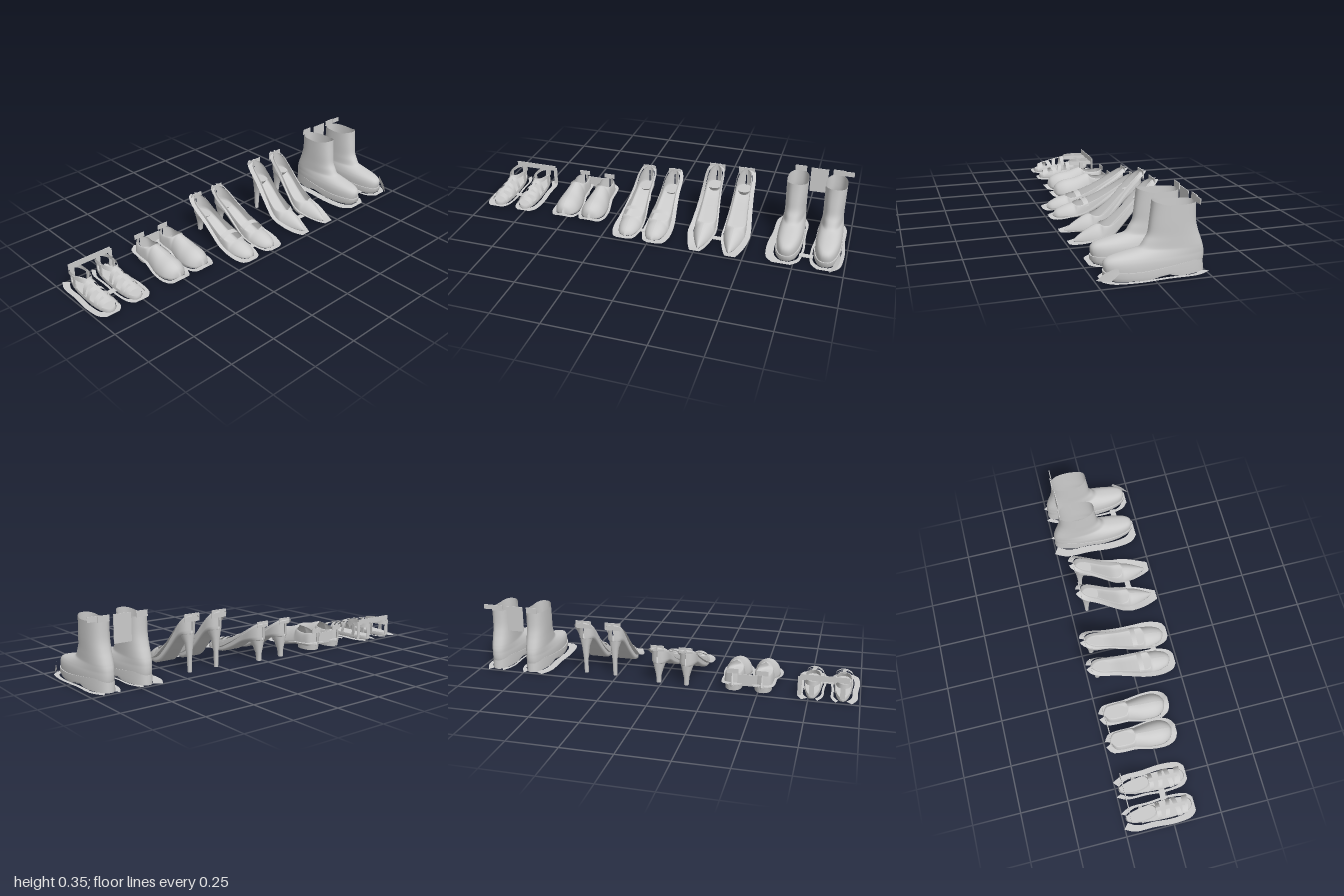
import * as THREE from 'three';

const material = new THREE.MeshStandardMaterial({ color: 0xcccccc, side: THREE.DoubleSide });
const lerp = THREE.MathUtils.lerp;

// Smooth surface through equal-length rows of [x, y, z] points
function surface(name, rows, closed = false) {
  const n = rows[0].length, index = [];
  for (let i = 0; i < rows.length - 1; i++) {
    for (let j = 0; j < (closed ? n : n - 1); j++) {
      const k = (j + 1) % n;
      const a = i * n + j, b = i * n + k, c = a + n, d = b + n;
      index.push(a, b, d, a, d, c);
    }
  }
  const g = new THREE.BufferGeometry();
  g.setAttribute('position', new THREE.Float32BufferAttribute(rows.flat(2), 3));
  g.setIndex(index);
  g.computeVertexNormals();
  const mesh = new THREE.Mesh(g, material);
  mesh.name = name;
  return mesh;
}

// Catmull-Rom resampling of a table of numbers
function resample(table, steps) {
  const out = [], last = table.length - 1;
  for (let s = 0; s <= steps; s++) {
    const t = (s / steps) * last, i = Math.min(Math.floor(t), last - 1), u = t - i;
    const [p0, p1, p2, p3] = [i - 1, i, i + 1, i + 2].map(k => table[THREE.MathUtils.clamp(k, 0, last)]);
    out.push(p1.map((b, c) => {
      const m1 = (p2[c] - p0[c]) / 2, m2 = (p3[c] - b) / 2, d = p2[c] - b;
      return b + u * (m1 + u * (3 * d - 2 * m1 - m2 + u * (m1 + m2 - 2 * d)));
    }));
  }
  return out;
}

// Foot-shaped ring at one height
function ring([y, zBack, zFront, wHeel, wToe], yRule = (v) => v) {
  return Array.from({ length: 40 }, (_, j) => {
    const a = (j / 40) * Math.PI * 2, c = Math.cos(a), s = Math.sin(a);
    const z = lerp(zBack, zFront, (Math.sign(c) * Math.abs(c) ** 0.9 + 1) / 2);
    const x = Math.sign(s) * Math.abs(s) ** 0.8 * lerp(wHeel, wToe, (c + 1) / 2);
    return [x, yRule(y, z), z];
  });
}

// Stack of rings, optionally capped; levels are [y, zBack, zFront, wHeel, wToe]
function stack(name, levels, caps = true, yRule) {
  const group = new THREE.Group(), rows = levels.map(l => ring(l, yRule));
  group.name = name;
  group.add(surface(name + 'Wall', rows, true));
  if (caps) for (const r of [rows[0], rows[rows.length - 1]]) {
    const mid = r.map(([, y, z]) => [0, y, z]);
    group.add(surface(name + 'Cap', [r, mid], true));
  }
  return group;
}

// Shoe shell from stations [z, yBottom, yTop, halfWidth, openingHalfWidth]
function shell(name, stations) {
  const rows = resample(stations, 44).map(([z, yb, yt, w, wr]) => {
    const half = [[0, yb], [w * 0.45, yb], [w * 0.82, yb]];
    for (let k = 0; k <= 9; k++) {
      const t = (k / 9) * Math.PI / 2, r = Math.max(0, wr);
      half.push([r + (w - r) * Math.cos(t), lerp(yb, yt, 0.08 + 0.92 * Math.sin(t))]);
    }
    return [...half.slice(1).reverse().map(([x, y]) => [-x, y, z]), ...half.map(([x, y]) => [x, y, z])];
  });
  return surface(name, rows);
}

// Thin skirt from the floor at the toe up to the rim at the back
function skirt(stations, outLeft, outRight, lift) {
  const s = resample(stations, 24), z0 = s[0][0], len = z0 - s[24][0];
  const side = (sign, out) => s.map(([z, yb, yt, w]) => {
    const f = (z0 - z) / len, y = lerp(yb, yt, f * lift), grow = out * (1 - 0.6 * f * lift);
    return [[sign * w, y, z], [sign * (w + grow), y, z + 0.025 * (1 - 2 * f)]];
  });
  return surface('skirt', [...side(-1, outLeft).reverse(), ...side(1, outRight)]);
}

// Flat band arching over the foot
function strap(z, w, y0, h, width, skew = 0) {
  const rows = [];
  for (let k = 0; k <= 16; k++) {
    const a = (k / 16) * Math.PI, x = w * Math.cos(a), y = y0 + h * Math.sin(a);
    rows.push([[x, y - 0.003, z + skew * x + width / 2], [x, y + 0.003, z + skew * x - width / 2]]);
  }
  return surface('strap', rows);
}

function panel(name, w, h, x, y, z, d = 0.004) {
  const mesh = new THREE.Mesh(new THREE.BoxGeometry(w, h, d), material);
  mesh.name = name;
  mesh.position.set(x, y, z);
  return mesh;
}

const CLOG = [[0.115, 0.02, 0.04, 0.008, 0], [0.1, 0.008, 0.065, 0.042, 0], [0.06, 0.004, 0.085, 0.064, 0],
  [0, 0.004, 0.095, 0.065, 0], [-0.05, 0.01, 0.11, 0.056, 0], [-0.08, 0.015, 0.116, 0.05, 0],
  [-0.1, 0.018, 0.1, 0.048, 0.036], [-0.15, 0.02, 0.09, 0.048, 0.037], [-0.195, 0.02, 0.095, 0.04, 0.032],
  [-0.218, 0.022, 0.1, 0.004, 0]];
const STRAP_HEEL = [[0.213, 0.008, 0.02, 0.006, 0], [0.195, 0.004, 0.04, 0.036, 0], [0.15, 0.003, 0.06, 0.055, 0],
  [0.11, 0.004, 0.068, 0.06, 0], [0.09, 0.005, 0.065, 0.06, 0.045], [0.04, 0.012, 0.075, 0.057, 0.052],
  [-0.03, 0.045, 0.1, 0.048, 0.045], [-0.1, 0.085, 0.135, 0.042, 0.038], [-0.17, 0.105, 0.175, 0.042, 0.034],
  [-0.21, 0.108, 0.198, 0.028, 0.02], [-0.225, 0.112, 0.2, 0.003, 0]];
const PUMP = [[0.215, 0.006, 0.012, 0.003, 0], [0.18, 0.004, 0.04, 0.022, 0], [0.13, 0.004, 0.07, 0.043, 0],
  [0.09, 0.006, 0.085, 0.054, 0], [0.07, 0.008, 0.083, 0.056, 0.037], [0.03, 0.025, 0.09, 0.054, 0.05],
  [-0.03, 0.085, 0.14, 0.046, 0.043], [-0.09, 0.15, 0.21, 0.041, 0.037], [-0.14, 0.185, 0.26, 0.04, 0.033],
  [-0.17, 0.19, 0.283, 0.028, 0.02], [-0.185, 0.195, 0.288, 0.003, 0]];
const FLAT = [[0.2, 0.006, 0.006, 0.02, 0], [0.16, 0.006, 0.006, 0.058, 0], [0.06, 0.006, 0.006, 0.07, 0],
  [-0.06, 0.006, 0.006, 0.06, 0], [-0.17, 0.006, 0.006, 0.058, 0], [-0.235, 0.006, 0.006, 0.025, 0]];
const SANDAL_BASE = FLAT.map(([z, a, b, w]) => [z * 0.76 - 0.05, a, b, w * 0.76, 0]);

function sandal() {
  return [
    stack('footbed', [[0.004, -0.23, 0.11, 0.034, 0.052], [0.014, -0.235, 0.115, 0.037, 0.055], [0.026, -0.23, 0.11, 0.035, 0.052]]),
    strap(0.075, 0.046, 0.02, 0.036, 0.03, 0.15), strap(0.03, 0.05, 0.02, 0.046, 0.024, -0.2),
    strap(-0.015, 0.047, 0.02, 0.056, 0.022, 0.2), strap(-0.065, 0.042, 0.02, 0.068, 0.022),
    stack('ankleStrap', [[0.075, -0.235, -0.07, 0.04, 0.038], [0.098, -0.235, -0.08, 0.037, 0.036]], false),
    // Centre strap running up the instep
    surface('instepStrap', [[0.075, 0.058], [0.03, 0.069], [-0.015, 0.079], [-0.085, 0.093]].map(([z, y]) => [[-0.009, y, z], [0.009, y, z]])),
    ...[-1, 1].map(s => panel('strapPost', 0.005, 0.07, s * 0.038, 0.055, -0.15, 0.02)),
    panel('heelPost', 0.024, 0.075, 0, 0.055, -0.23),
  ];
}

function clog() {
  return [shell('upper', CLOG),
    stack('heelBlock', [[0, -0.212, -0.09, 0.042, 0.044], [0.03, -0.216, -0.09, 0.044, 0.046]]),
    panel('backTab', 0.06, 0.025, 0, 0.107, -0.215)];
}

function strapHeel() {
  return [shell('upper', STRAP_HEEL), strap(0.045, 0.056, 0.06, 0.026, 0.026),
    stack('heel', [[0, -0.208, -0.182, 0.012, 0.012], [0.04, -0.21, -0.175, 0.014, 0.014],
      [0.08, -0.215, -0.155, 0.025, 0.024], [0.112, -0.218, -0.12, 0.036, 0.036]]),
    panel('backTab', 0.07, 0.03, 0, 0.195, -0.222)];
}

function pump() {
  return [shell('upper', PUMP),
    stack('stilettoHeel', [[0, -0.17, -0.15, 0.01, 0.01], [0.08, -0.173, -0.146, 0.012, 0.012],
      [0.15, -0.178, -0.13, 0.021, 0.02], [0.198, -0.182, -0.09, 0.034, 0.036]]),
    panel('backTab', 0.085, 0.04, 0, 0.276, -0.184)];
}

function boot() {
  // Welt line climbs toward the heel, and the tread arches between heel and ball
  const welt = (y, z) => y * lerp(1, 1.7, THREE.MathUtils.clamp((0.05 - z) / 0.28, 0, 1))
    + (y < 0.01 && z < 0 && z > -0.11 ? 0.015 * Math.sin(-z / 0.11 * Math.PI) : 0);
  const upper = [[0.035, -0.238, 0.205, 0.058, 0.068], [0.06, -0.243, 0.211, 0.06, 0.068], [0.08, -0.244, 0.209, 0.061, 0.065],
    [0.095, -0.243, 0.195, 0.061, 0.059], [0.105, -0.242, 0.165, 0.061, 0.054], [0.115, -0.24, 0.12, 0.06, 0.05],
    [0.125, -0.237, 0.07, 0.058, 0.048], [0.135, -0.234, 0.047, 0.057, 0.048], [0.16, -0.225, 0.03, 0.056, 0.049],
    [0.19, -0.214, 0.013, 0.055, 0.05], [0.24, -0.202, 0.006, 0.055, 0.052], [0.32, -0.199, -0.003, 0.055, 0.054]];
  const rim = (y, z) => y + (y > 0.31 ? 0.014 * Math.max(0, (z + 0.06) / 0.057) : 0);
  return [
    stack('sole', [[0.003, -0.245, 0.195, 0.06, 0.07], [0.02, -0.243, 0.212, 0.062, 0.074], [0.042, -0.24, 0.213, 0.061, 0.073]], true, welt),
    stack('upper', resample(upper, 40), false, rim),
    panel('pullTab', 0.06, 0.03, 0, 0.333, -0.196),
  ];
}

export function createModel() {
  const model = new THREE.Group();
  // name, builder, x of both shoes, skirt stations, skirt overhang, skirt lift
  const pairs = [
    ['sandal', sandal, [-0.915, -0.765], SANDAL_BASE, 0.028, 0],
    ['clog', clog, [-0.52, -0.37], CLOG, 0.016, 0.3],
    ['strapHeel', strapHeel, [-0.13, 0.017], STRAP_HEEL, 0.03, 1],
    ['pump', pump, [0.265, 0.425], PUMP, 0.035, 1],
    ['boot', boot, [0.707, 0.902], FLAT, 0.04, 0],
  ];
  for (const [name, build, xs, base, over, lift] of pairs) {
    xs.forEach((x, i) => {
      const shoe = new THREE.Group();
      shoe.name = name + (i ? 'Left' : 'Right');
      const right = name === 'boot' ? 0.018 : over;
      shoe.add(...build(), skirt(base, i ? 0.012 : over, i ? right : 0.012, lift));
      shoe.position.x = x;
      model.add(shoe);
    });
  }
  // Thin webs joining the shoes of each pair
  model.add(
    panel('sandalBackPanel', 0.24, 0.03, -0.825, 0.107, -0.21),
    panel('sandalPanelPost', 0.02, 0.1, -0.705, 0.06, -0.21),
    panel('clogWeb', 0.1, 0.06, -0.445, 0.06, -0.21),
    panel('bootBackPanel', 0.09, 0.135, 0.805, 0.278, -0.19),
    panel('bootTab', 0.05, 0.025, 0.955, 0.335, -0.19),
  );
  for (const [x, z, w] of [[-0.84, -0.02, 0.06], [-0.055, 0.14, 0.05], [0.345, 0.1, 0.06], [0.805, 0.13, 0.07]]) {
    const web = panel('floorWeb', w, 0.003, x, 0.012, z, 0.03);
    model.add(web);
  }
  // Folded fin beside the outer boot toe
  model.add(surface('toeFin', [
    [[0.93, 0.012, 0.25], [0.965, 0.012, 0.2]],
    [[0.95, 0.05, 0.215], [0.972, 0.03, 0.18]],
    [[0.97, 0.078, 0.165], [0.975, 0.05, 0.16]],
  ]));
  return model;
}
